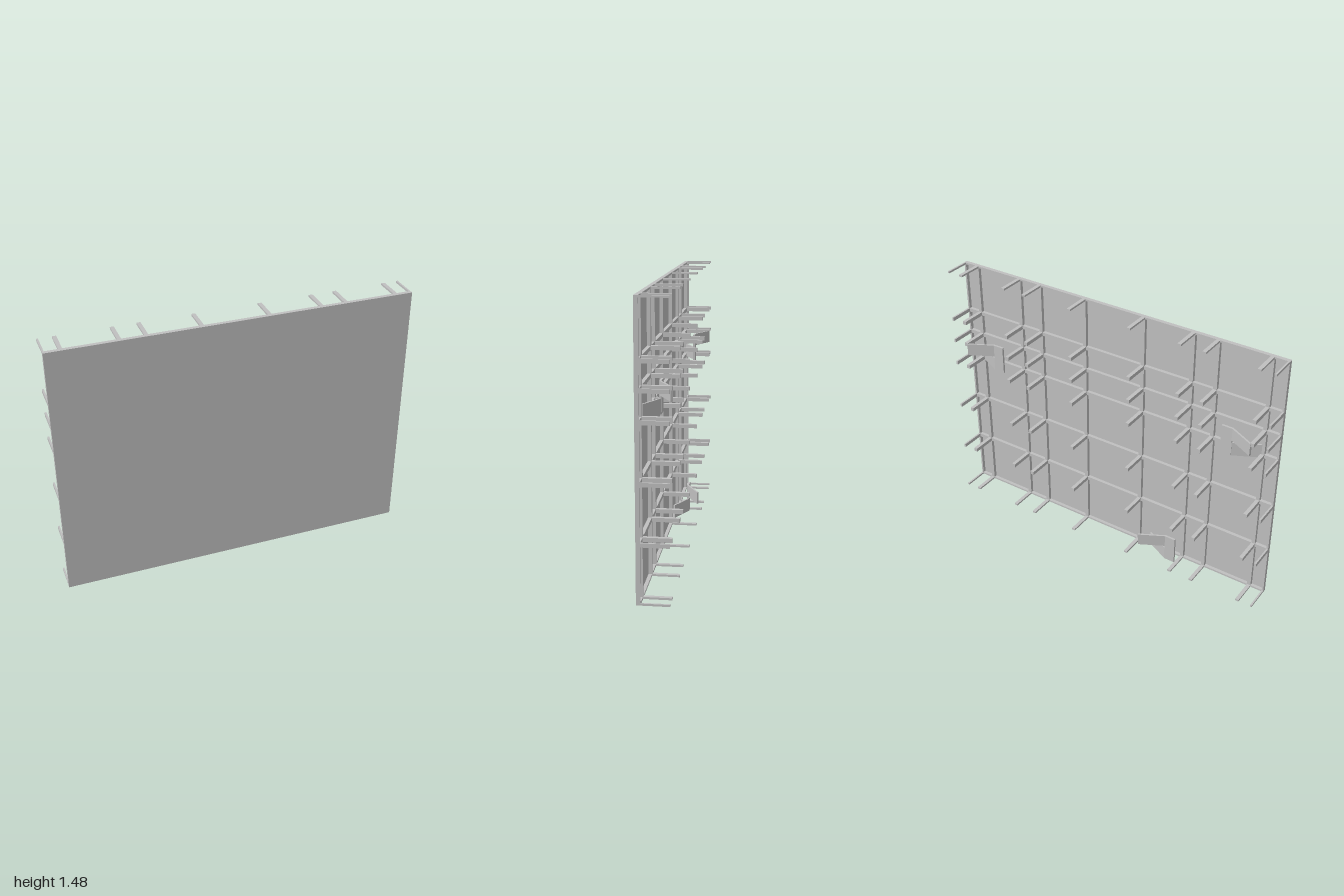
import * as THREE from 'three';

export function createModel() {
  const model = new THREE.Group();
  model.name = 'formworkPanel';
  const steel = new THREE.MeshStandardMaterial({ color: 0xc0c0c0 });
  steel.name = 'plain grey';

  const H = 1.475, FRONT = 0.082, SHEET = 0.079, RIB = 0.06, BACK = -0.082;

  // Box given by its limits on each axis
  function box(name, [x0, x1], [y0, y1], [z0, z1], parent) {
    const mesh = new THREE.Mesh(new THREE.BoxGeometry(x1 - x0, y1 - y0, z1 - z0), steel);
    mesh.position.set((x0 + x1) / 2, (y0 + y1) / 2, (z0 + z1) / 2);
    mesh.name = name;
    parent.add(mesh);
    return mesh;
  }

  // Grid lines as [low, high]; outermost lines are half as wide
  const band = (c) => [c - 0.0105, c + 0.0105];
  const half = [0.184, 0.477, 0.616, 0.91];
  const columns = [[-1, -0.99], ...half.map((c) => band(-c)), ...half.map(band), [0.99, 1]];
  const rows = [[0, 0.0105], ...[0.302, 0.597, 0.892, 1.04, 1.178].map(band), [H - 0.0105, H]];

  // Face sheet
  box('faceSheet', [-1, 1], [0, H], [SHEET, FRONT], model);

  // Shallow ribs on the back of the sheet
  const ribs = new THREE.Group();
  ribs.name = 'ribs';
  model.add(ribs);
  columns.forEach((c) => box('verticalRib', c, [0, H], [RIB, SHEET], ribs));
  rows.forEach((r) => box('horizontalRib', [-1, 1], r, [RIB, SHEET], ribs));

  // Pegs standing out at every crossing
  const pegs = new THREE.Group();
  pegs.name = 'pegs';
  model.add(pegs);
  for (const c of columns) for (const r of rows) box('peg', c, r, [BACK, RIB], pegs);

  // Split anchors: a flat stem whose halves bend forward and backward
  function arm(name, endZ, y0, y1, parent) {
    const dx = 0.138, dz = endZ, t = 0.005;
    const len = Math.hypot(dx, dz);
    const nx = (-dz / len) * t, nz = (dx / len) * t;
    const shape = new THREE.Shape([
      new THREE.Vector2(nx, -nz), new THREE.Vector2(-nx, nz),
      new THREE.Vector2(dx - nx, -dz + nz), new THREE.Vector2(dx + nx, -dz - nz),
    ]);
    const geo = new THREE.ExtrudeGeometry(shape, { depth: y1 - y0, bevelEnabled: false });
    geo.rotateX(-Math.PI / 2);
    const mesh = new THREE.Mesh(geo, steel);
    mesh.position.y = y0;
    mesh.name = name;
    parent.add(mesh);
  }

  function anchor(x, y, mirrored) {
    const group = new THREE.Group();
    group.name = 'splitAnchor';
    // When turned half round, forward and backward swap
    const s = mirrored ? -1 : 1;
    box('anchorStem', [-0.062, 0.002], [0, 0.163], [-0.006, 0.006], group);
    arm('lowerArm', s > 0 ? 0.068 : -0.068, 0, 0.077, group);
    arm('upperArm', s > 0 ? -0.073 : 0.073, 0.092, 0.163, group);
    group.position.set(x, y, -0.006);
    if (mirrored) group.rotation.y = Math.PI;
    model.add(group);
  }
  anchor(-0.405, 0.012, false);
  anchor(-0.765, 0.882, true);
  anchor(0.766, 0.882, false);

  return model;
}
